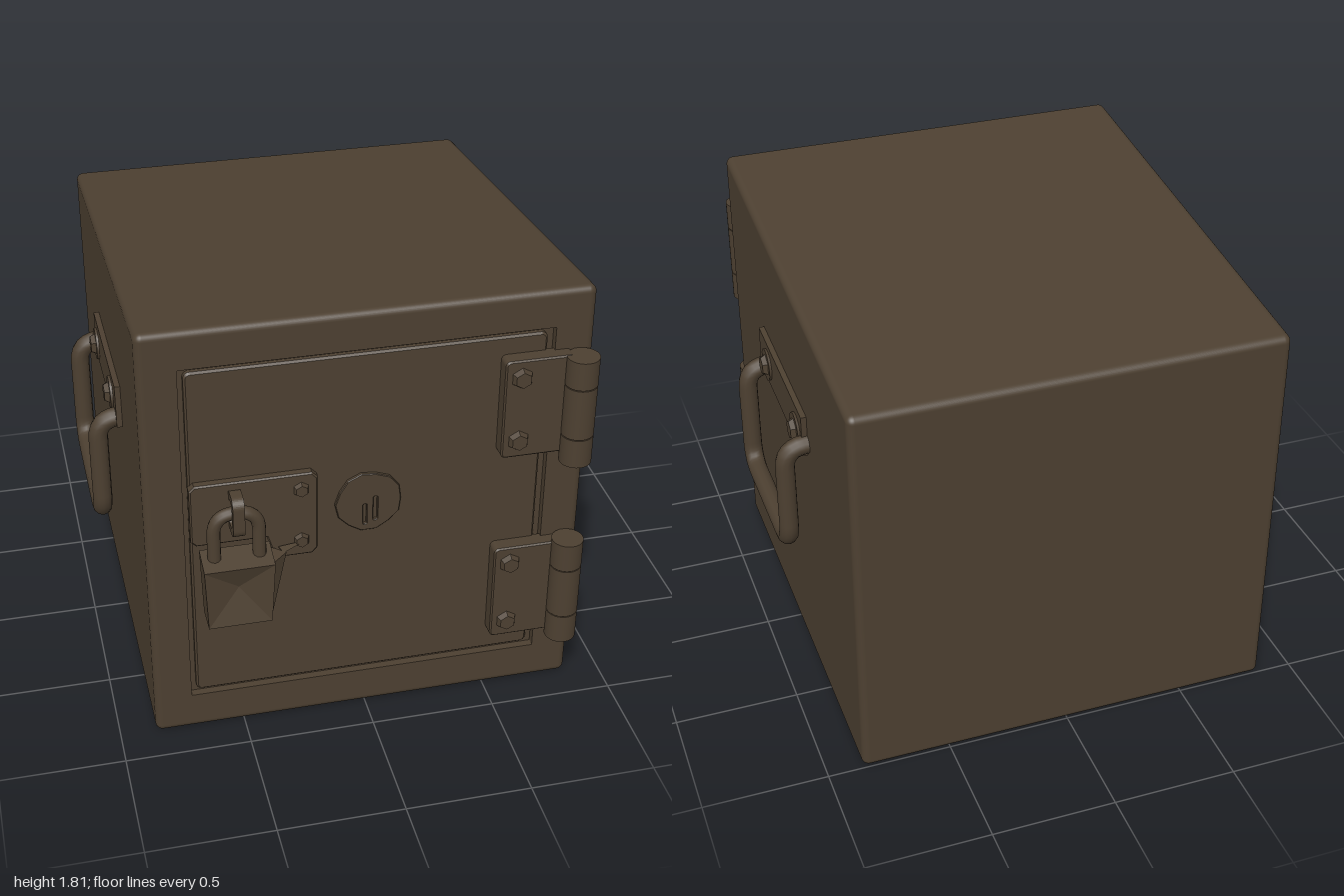
import * as THREE from 'three';
import { RoundedBoxGeometry } from 'three/addons/geometries/RoundedBoxGeometry.js';
import { ConvexGeometry } from 'three/addons/geometries/ConvexGeometry.js';

const iron = new THREE.MeshStandardMaterial({ color: 0x4d4031 });
iron.name = 'dark iron';

const V = (x, y, z) => new THREE.Vector3(x, y, z);
const FRONT = 0.865, W = 1.715, H = 1.812, D = 1.865, R = 0.03;

function add(parent, name, geometry, x = 0, y = 0, z = 0) {
  const mesh = new THREE.Mesh(geometry, iron);
  mesh.name = name;
  mesh.position.set(x, y, z);
  parent.add(mesh);
  return mesh;
}

// Rectangle outline with rounded corners
function roundRect(path, x0, y0, x1, y1, r) {
  path.moveTo(x0 + r, y0);
  path.lineTo(x1 - r, y0).absarc(x1 - r, y0 + r, r, -Math.PI / 2, 0);
  path.lineTo(x1, y1 - r).absarc(x1 - r, y1 - r, r, 0, Math.PI / 2);
  path.lineTo(x0 + r, y1).absarc(x0 + r, y1 - r, r, Math.PI / 2, Math.PI);
  path.lineTo(x0, y0 + r).absarc(x0 + r, y0 + r, r, Math.PI, Math.PI * 1.5);
  return path;
}

// Plate whose front lies at z1, with a small bevel
function plate(shape, z0, z1, bevel = 0.006) {
  const geo = new THREE.ExtrudeGeometry(shape, {
    depth: z1 - z0 - bevel, bevelEnabled: bevel > 0, bevelSize: bevel, bevelOffset: -bevel,
    bevelThickness: bevel, bevelSegments: 1, curveSegments: 4,
  });
  return geo.translate(0, 0, z0);
}

// Bent rod through corner points, each bend rounded by radius r
function rod(points, r, thickness, segments = 72) {
  const path = new THREE.CurvePath();
  let last = points[0];
  for (let i = 1; i < points.length - 1; i++) {
    const p = points[i];
    const a = p.clone().add(points[i - 1].clone().sub(p).setLength(r[i - 1]));
    const b = p.clone().add(points[i + 1].clone().sub(p).setLength(r[i - 1]));
    path.add(new THREE.LineCurve3(last, a));
    path.add(new THREE.QuadraticBezierCurve3(a, p, b));
    last = b;
  }
  path.add(new THREE.LineCurve3(last, points[points.length - 1]));
  return new THREE.TubeGeometry(path, segments, thickness, 12);
}

// Hexagonal bolt head with a domed top, pointing along +z
function bolt(r, h) {
  const geo = new THREE.CylinderGeometry(r * 0.7, r, h, 6).toNonIndexed();
  geo.computeVertexNormals();
  return geo.rotateX(Math.PI / 2);
}

// Rounded box with a sloping top and its flat front panel left out
function bodyGeometry() {
  const src = new RoundedBoxGeometry(W, H, D, 4, R);
  src.translate(0, H / 2, FRONT - D / 2);
  const p = src.attributes.position, n = src.attributes.normal;
  const pos = [], nor = [], slope = 0.19 / H / D;
  for (let i = 0; i < p.count; i += 3) {
    if ([0, 1, 2].every((k) => p.getZ(i + k) > FRONT - 1e-4)) continue;
    for (let k = i; k < i + 3; k++) {
      const y = p.getY(k), z = p.getZ(k), s = 1 - slope * (FRONT - z);
      pos.push(p.getX(k), y * s, z);
      const m = V(n.getX(k), n.getY(k) / s, n.getZ(k) - n.getY(k) * y * slope / s).normalize();
      nor.push(m.x, m.y, m.z);
    }
  }
  const geo = new THREE.BufferGeometry();
  geo.setAttribute('position', new THREE.Float32BufferAttribute(pos, 3));
  geo.setAttribute('normal', new THREE.Float32BufferAttribute(nor, 3));
  return geo;
}

function buildSafe(model) {
  add(model, 'body', bodyGeometry());
  // Front frame around the door opening
  const frame = roundRect(new THREE.Shape(), -W / 2 + R, R, W / 2 - R, H - R, 0.001);
  frame.holes.push(roundRect(new THREE.Path(), -0.71, 0.165, 0.705, 1.655, 0.004));
  add(model, 'doorFrame', plate(frame, FRONT - 0.04, FRONT, 0));
  add(model, 'doorRecess', new THREE.BoxGeometry(1.46, 1.54, 0.01), 0, 0.91, FRONT - 0.037);
  add(model, 'door', plate(roundRect(new THREE.Shape(), -0.688, 0.183, 0.678, 1.635, 0.025), 0.83, 0.857, 0.008));
  // Lock cover disc with key slots
  const disc = new THREE.Shape();
  for (let i = 0; i < 14; i++) {
    const a = (i / 14) * Math.PI * 2, r = i % 3 ? 0.132 : 0.126;
    disc[i ? 'lineTo' : 'moveTo'](r * Math.cos(a), 0.99 + r * Math.sin(a));
  }
  disc.holes.push(roundRect(new THREE.Path(), -0.022, 0.89, -0.008, 0.98, 0.005));
  disc.holes.push(roundRect(new THREE.Path(), 0.018, 0.905, 0.034, 1.01, 0.005));
  add(model, 'lockCover', plate(disc, 0.85, 0.871, 0.003));
}

function buildHinge(y0, y1, b0, b1) {
  const hinge = new THREE.Group();
  hinge.name = 'hinge';
  add(hinge, 'hingePlate', plate(roundRect(new THREE.Shape(), 0.5, y0, 0.77, y1, 0.02), 0.85, 0.918));
  // Barrel made of three knuckles
  const cuts = [0, 0.27, 0.74, 1];
  for (let i = 0; i < 3; i++) {
    const lo = b0 + (b1 - b0) * cuts[i], hi = b0 + (b1 - b0) * cuts[i + 1];
    add(hinge, 'hingeKnuckle', new THREE.CylinderGeometry(0.063, 0.063, hi - lo - 0.004, 24), 0.795, (lo + hi) / 2, 0.927);
  }
  add(hinge, 'hingePin', new THREE.CylinderGeometry(0.056, 0.056, b1 - b0 - 0.01, 16), 0.795, (b0 + b1) / 2, 0.927);
  for (const y of [y0 + 0.075, y1 - 0.073]) add(hinge, 'hingeBolt', bolt(0.047, 0.03), 0.565, y, 0.925);
  return hinge;
}

function buildHasp() {
  const hasp = new THREE.Group();
  hasp.name = 'haspAndPadlock';
  const s = new THREE.Shape();
  [[-0.69, 0.92], [-0.67, 0.9], [-0.4, 0.9], [-0.37, 0.8], [-0.225, 0.8], [-0.202, 0.825],
    [-0.202, 1.145], [-0.225, 1.168], [-0.67, 1.168], [-0.69, 1.148]]
    .forEach(([x, y], i) => (i ? s.lineTo(x, y) : s.moveTo(x, y)));
  add(hasp, 'haspPlate', plate(s, 0.85, 0.89));
  for (const y of [1.1, 0.87]) add(hasp, 'haspBolt', bolt(0.035, 0.022), -0.267, y, 0.896);
  // Staple that the shackle passes through
  const staple = roundRect(new THREE.Shape(), -0.98, 0.97, -0.87, 1.14, 0.04);
  staple.holes.push(roundRect(new THREE.Path(), -0.955, 1.0, -0.89, 1.11, 0.025));
  const eye = new THREE.ExtrudeGeometry(staple, { depth: 0.045, bevelEnabled: false, curveSegments: 5 });
  add(hasp, 'staple', eye.rotateY(Math.PI / 2), -0.543, 0, 0);
  // Padlock shackle
  const zs = 0.928;
  add(hasp, 'shackle', rod([V(-0.61, 0.82, zs), V(-0.61, 1.06, zs), V(-0.437, 1.06, zs), V(-0.437, 0.82, zs)],
    [0.085, 0.085], 0.026, 40));
  // Padlock case with a dented front
  const outline = [[-0.66, 0.86], [-0.65, 0.59], [-0.405, 0.59], [-0.39, 0.86]];
  const pts = [];
  for (const z of [0.885, 0.998]) for (const [x, y] of outline) pts.push(x, y + (z > 0.9 && y > 0.7 ? -0.01 : 0.02 * (y > 0.7)), z);
  pts.push(-0.525, 0.745, 0.962);
  const index = [0, 2, 1, 0, 3, 2];
  for (let i = 0; i < 4; i++) {
    const j = (i + 1) % 4;
    index.push(i, j, j + 4, i, j + 4, i + 4, i + 4, j + 4, 8);
  }
  let lock = new THREE.BufferGeometry();
  lock.setAttribute('position', new THREE.Float32BufferAttribute(pts, 3));
  lock.setIndex(index);
  lock = lock.toNonIndexed();
  lock.computeVertexNormals();
  add(hasp, 'padlockCase', lock);
  // Bent flap at the side of the case
  add(hasp, 'padlockFlap', new ConvexGeometry([V(-0.395, 0.85, 0.985), V(-0.335, 0.855, 0.935), V(-0.395, 0.86, 0.89),
    V(-0.405, 0.6, 0.985), V(-0.405, 0.62, 0.9)]));
  add(hasp, 'flapTip', new ConvexGeometry([V(-0.345, 0.855, 0.937), V(-0.345, 0.83, 0.9), V(-0.25, 0.867, 0.893),
    V(-0.36, 0.86, 0.9)]));
  return hasp;
}

// Carrying handle on one side, side = +1 or -1
function buildHandle(side) {
  const handle = new THREE.Group();
  handle.name = side > 0 ? 'leftHandle' : 'rightHandle';
  const mount = add(handle, 'handlePlate', new THREE.BoxGeometry(0.03, 0.18, 0.68), side * 0.865, 1.18, -0.03);
  mount.rotation.x = -0.044;
  for (const [z, y] of [[0.17, 1.185], [-0.285, 1.155]]) {
    const washer = new THREE.CylinderGeometry(0.066, 0.068, 0.012, 16).rotateZ(Math.PI / 2);
    add(handle, 'handleWasher', washer, side * 0.884, y, z);
    add(handle, 'handleBolt', bolt(0.052, 0.028).rotateY(side * Math.PI / 2), side * 0.896, y, z);
  }
  const out = side * 0.952, base = side * 0.85, zf = 0.265, zb = -0.365;
  add(handle, 'handleBar', rod([V(base, 1.13, zf), V(out, 1.12, zf), V(out, 0.673, zf),
    V(out, 0.673, zb), V(out, 1.12, zb), V(base, 1.13, zb)], [0.08, 0.1, 0.1, 0.08], 0.039));
  return handle;
}

export function createModel() {
  const model = new THREE.Group();
  model.name = 'strongbox';
  buildSafe(model);
  model.add(buildHinge(1.14, 1.56, 1.1, 1.56));
  model.add(buildHinge(0.285, 0.715, 0.26, 0.735));
  model.add(buildHasp());
  for (const side of [1, -1]) model.add(buildHandle(side));
  return model;
}
